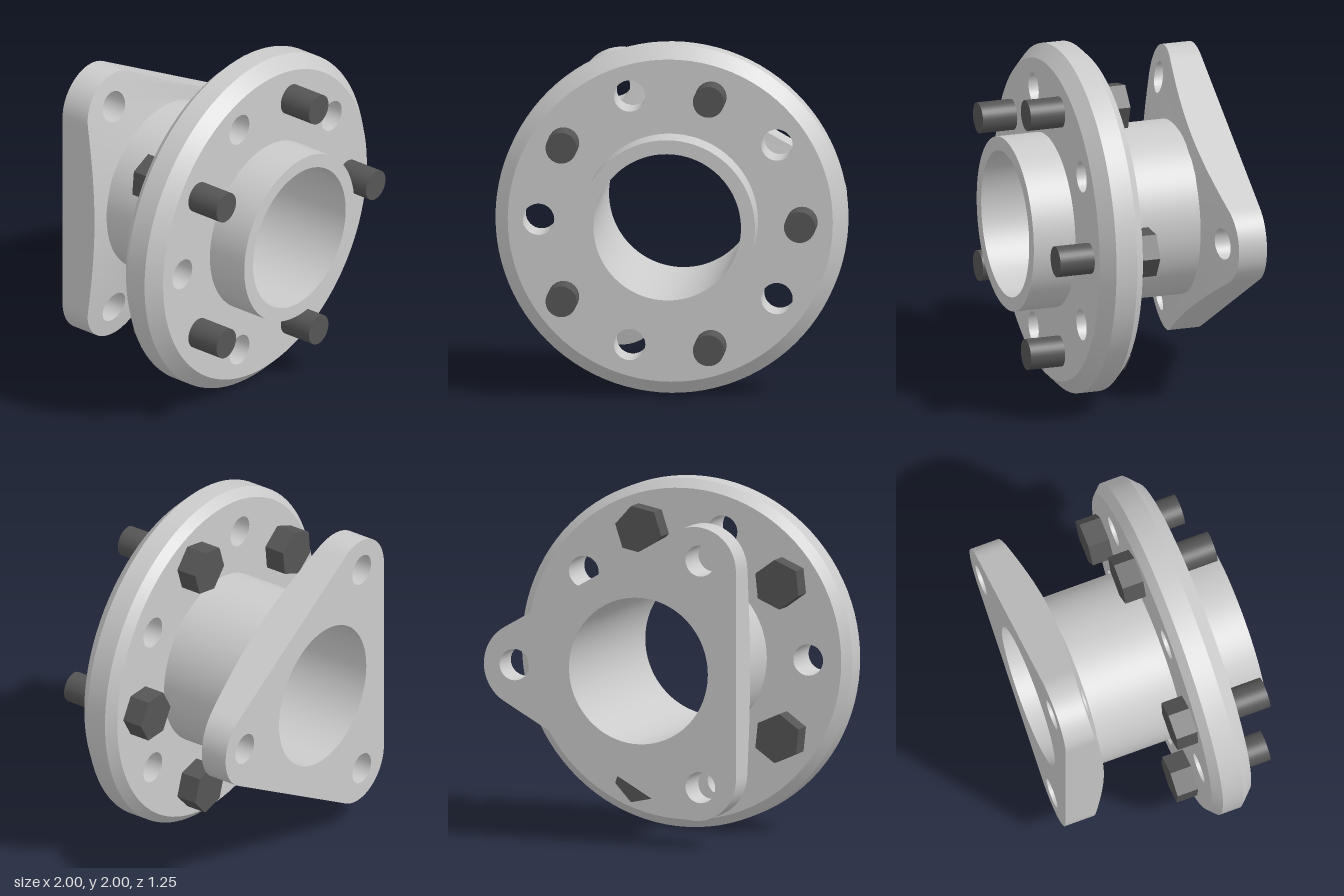
import * as THREE from 'three';
import { toCreasedNormals } from 'three/addons/utils/BufferGeometryUtils.js';

const TAU = Math.PI * 2;
const grey = new THREE.MeshStandardMaterial({ color: 0xcccccc });
const dark = new THREE.MeshStandardMaterial({ color: 0x555555 });
const darkFlat = new THREE.MeshStandardMaterial({ color: 0x555555, flatShading: true });

function add(parent, name, geometry, material = grey) {
  const mesh = new THREE.Mesh(geometry, material);
  mesh.name = name;
  parent.add(mesh);
  return mesh;
}

// Revolve [radius, z] points around the z axis
function revolve(profile) {
  const points = profile.map(([r, z]) => new THREE.Vector2(r, z));
  return toCreasedNormals(new THREE.LatheGeometry(points, 96).rotateX(Math.PI / 2), 0.5);
}

// Counter-clockwise circle of points
function circle(x, y, r, n) {
  return Array.from({ length: n }, (_, i) => {
    const a = (i / n) * TAU;
    return new THREE.Vector2(x + r * Math.cos(a), y + r * Math.sin(a));
  });
}

function shapeWith(outline, holes) {
  const shape = new THREE.Shape(outline);
  shape.holes = holes.map((h) => new THREE.Path(h));
  return shape;
}

// Sloping front of the triangular flange
const FLANGE_BACK = -0.625;
const SLOPE = 0.19;
const flangeFront = (x, y) => -0.375 - SLOPE * Math.max(0, Math.hypot(x, y) - 0.5);

// Smooth wall along a closed loop, from the flange back up to its sloping front
function flangeWall(loop) {
  const n = loop.length, pos = [], nor = [], idx = [];
  loop.forEach((p, i) => {
    const t = loop[(i + 1) % n].clone().sub(loop[(i + n - 1) % n]).normalize();
    pos.push(p.x, p.y, FLANGE_BACK, p.x, p.y, flangeFront(p.x, p.y));
    nor.push(t.y, -t.x, 0, t.y, -t.x, 0);
    const a = 2 * i, b = 2 * ((i + 1) % n);
    idx.push(a, b, b + 1, a, b + 1, a + 1);
  });
  const g = new THREE.BufferGeometry();
  g.setAttribute('position', new THREE.Float32BufferAttribute(pos, 3));
  g.setAttribute('normal', new THREE.Float32BufferAttribute(nor, 3));
  g.setIndex(idx);
  return g;
}

function createTriangularFlange() {
  const flange = new THREE.Group();
  flange.name = 'triangularFlange';

  const outlineShape = new THREE.Shape();
  const holes = [];
  for (let i = 0; i < 3; i++) {
    const a = (i / 3) * TAU, c = Math.cos(a), s = Math.sin(a);
    outlineShape.absarc(0.69 * c, 0.69 * s, 0.245, a - Math.PI / 3, a + Math.PI / 3, false);
    holes.push(circle(0.75 * c, 0.75 * s, 0.09, 32));
  }
  outlineShape.closePath();
  const outline = outlineShape.getSpacedPoints(180);
  outline.pop();

  // Front face lifted onto a shallow cone
  const front = new THREE.ShapeGeometry(shapeWith(outline, [circle(0, 0, 0.495, 96), ...holes]));
  const p = front.attributes.position, normal = new THREE.Vector3();
  for (let i = 0; i < p.count; i++) {
    const x = p.getX(i), y = p.getY(i), r = Math.hypot(x, y);
    p.setZ(i, flangeFront(x, y));
    normal.set((SLOPE * x) / r, (SLOPE * y) / r, 1).normalize();
    front.attributes.normal.setXYZ(i, normal.x, normal.y, normal.z);
  }
  add(flange, 'flangeFrontFace', front);

  // Flat back face with the bore
  const back = new THREE.ShapeGeometry(shapeWith(outline, [circle(0, 0, 0.42, 96), ...holes]));
  add(flange, 'flangeBackFace', back.rotateX(Math.PI).translate(0, 0, FLANGE_BACK));

  add(flange, 'flangeEdge', flangeWall(outline));
  for (const h of holes) add(flange, 'flangeHoleWall', flangeWall([...h].reverse()));
  return flange;
}

function createRoundFlange() {
  const flange = new THREE.Group();
  flange.name = 'roundFlange';

  // Plate with the five open holes between the bolts
  const holes = [circle(0, 0, 0.46, 96)];
  for (let i = 0; i < 5; i++) {
    const a = ((i + 0.5) / 5) * TAU;
    holes.push(circle(0.75 * Math.cos(a), 0.75 * Math.sin(a), 0.09, 32));
  }
  const plate = new THREE.ExtrudeGeometry(shapeWith(circle(0, 0, 0.925, 96), holes), {
    depth: 0.25, bevelEnabled: false,
  });
  add(flange, 'plate', toCreasedNormals(plate.translate(0, 0, 0.125), 0.5));

  // Rim with a larger chamfer at the front
  add(flange, 'rim', revolve([[0.92, 0.125], [0.95, 0.125], [1, 0.175], [1, 0.3], [0.925, 0.375]]));
  return flange;
}

function createBolt(angle) {
  const bolt = new THREE.Group();
  bolt.name = 'bolt';
  const shank = new THREE.CylinderGeometry(0.0885, 0.0885, 0.48, 32);
  add(bolt, 'boltShank', shank.rotateX(Math.PI / 2).translate(0.75, 0, 0.34), dark);
  const head = new THREE.CylinderGeometry(0.1425, 0.1425, 0.125, 6);
  head.rotateX(Math.PI / 2).rotateZ(Math.PI / 2).translate(0.75, 0, 0.0625);
  add(bolt, 'boltHead', head, darkFlat);
  bolt.rotation.z = angle;
  return bolt;
}

export function createModel() {
  const model = new THREE.Group();
  model.name = 'flangedHub';
  const hub = new THREE.Group();
  hub.name = 'hub';
  hub.position.y = 1;
  model.add(hub);

  // Tube with a bore running through to the back
  add(hub, 'tube', revolve([[0.5, -0.38], [0.5, 0.625], [0.42, 0.625], [0.42, FLANGE_BACK]]));
  hub.add(createRoundFlange(), createTriangularFlange());
  for (let i = 0; i < 5; i++) hub.add(createBolt((i / 5) * TAU));
  return model;
}
